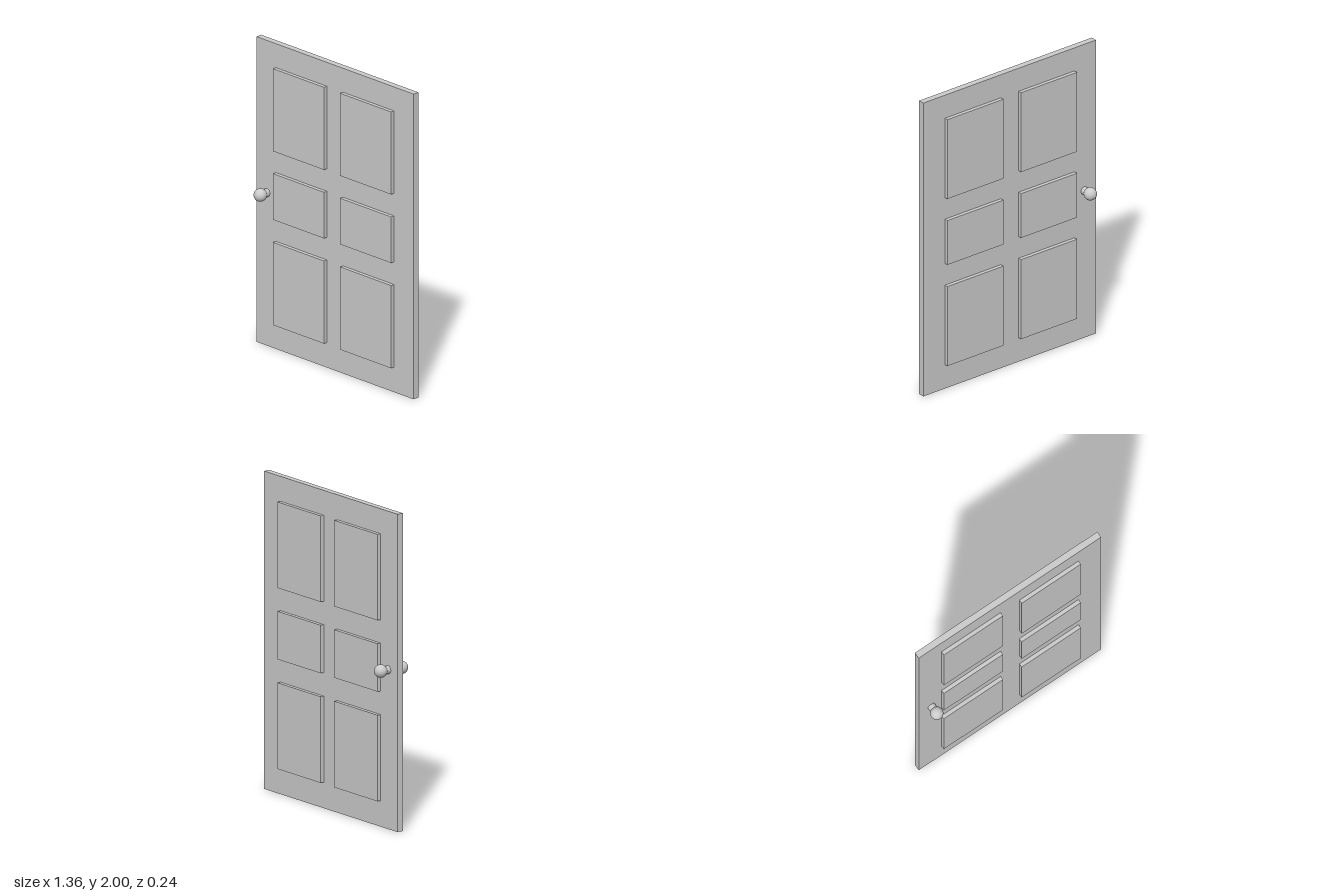
import * as THREE from 'three';

export function createModel() {
  const door = new THREE.Group();
  door.name = 'door';
  const material = new THREE.MeshStandardMaterial({ color: 0xcccccc });

  const add = (parent, name, geometry, x, y, z) => {
    const mesh = new THREE.Mesh(geometry, material);
    mesh.name = name;
    mesh.position.set(x, y, z);
    parent.add(mesh);
    return mesh;
  };

  // Door leaf
  const slabHalf = 0.021;
  add(door, 'slab', new THREE.BoxGeometry(1.364, 2, slabHalf * 2), 0, 1, 0);

  // Raised panels: three rows, two columns, both faces
  const rows = [
    { name: 'lower', bottom: 0.163, top: 0.705 },
    { name: 'middle', bottom: 0.853, top: 1.155 },
    { name: 'upper', bottom: 1.302, top: 1.843 },
  ];
  const faces = [['front', 1], ['back', -1]];
  const relief = 0.025;
  for (const { name, bottom, top } of rows) {
    for (const [side, sx] of [['Left', 1], ['Right', -1]]) {
      for (const [face, sz] of faces) {
        add(door, `${face} ${name}${side}Panel`,
          new THREE.BoxGeometry(0.442, top - bottom, relief),
          sx * 0.291, (bottom + top) / 2, sz * (slabHalf + relief / 2));
      }
    }
  }

  // Round knob with a short neck on each face
  for (const [face, sz] of faces) {
    const handle = new THREE.Group();
    handle.name = `${face}Handle`;
    handle.position.set(-0.589, 1.003, 0);
    const neck = add(handle, 'neck', new THREE.CylinderGeometry(0.026, 0.026, 0.06, 32), 0, 0, sz * 0.045);
    neck.rotation.x = Math.PI / 2;
    add(handle, 'knob', new THREE.SphereGeometry(0.041, 32, 20), 0, 0, sz * 0.079);
    door.add(handle);
  }

  return door;
}
